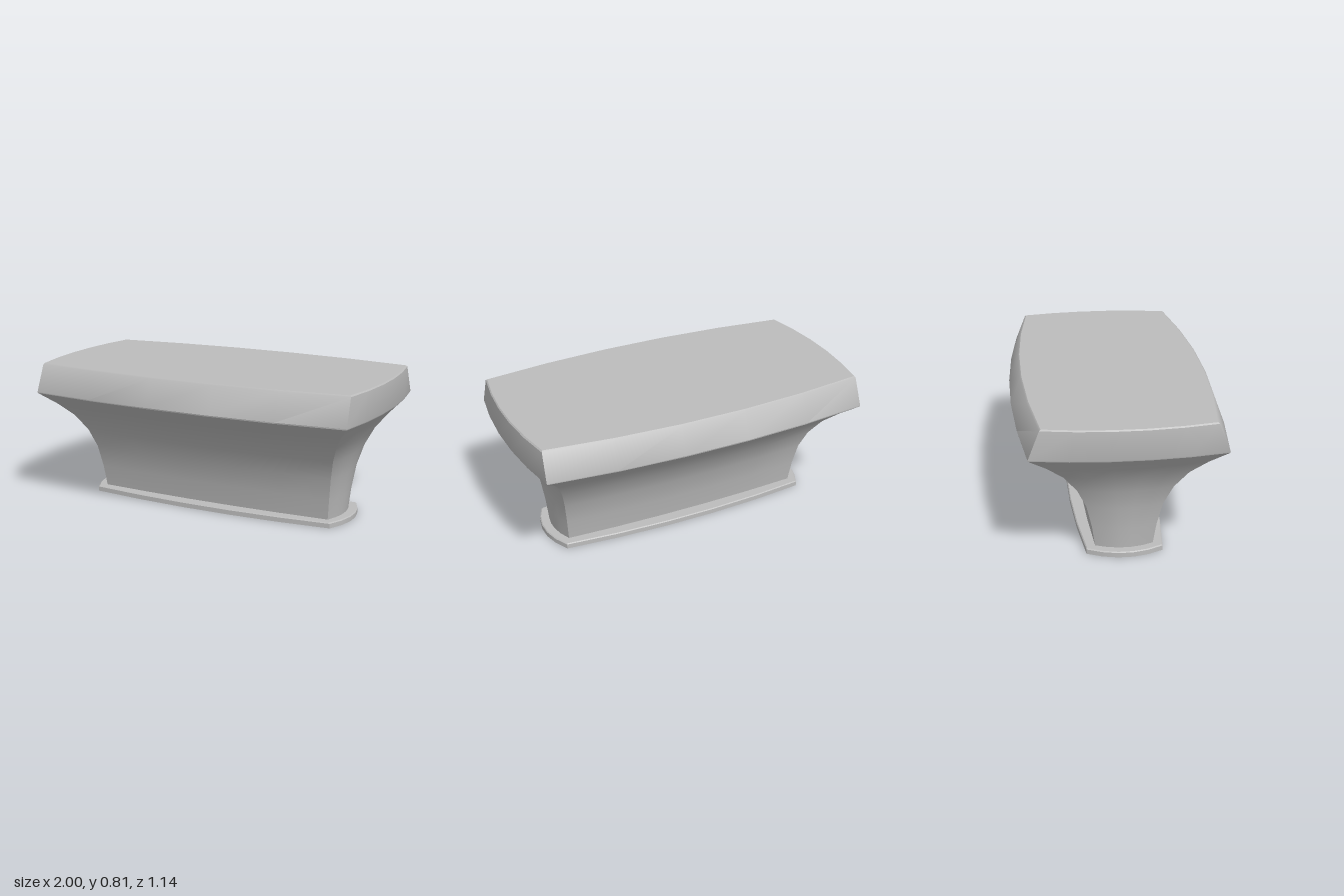
import * as THREE from 'three';
import { toCreasedNormals } from 'three/addons/utils/BufferGeometryUtils.js';

const SEG = 5; // segments along each bowed side

// Four-sided ring with bowed sides: corner at (cx, cz), side middles at mx and mz
function ring([y, cx, cz, mx, mz]) {
  const half = [];
  for (let i = 0; i < SEG; i++) {
    const t = (2 * i) / SEG - 1;
    half.push([cx * t, cz + (mz - cz) * (1 - t * t)]);
  }
  for (let i = 0; i < SEG; i++) {
    const t = (2 * i) / SEG - 1;
    half.push([cx + (mx - cx) * (1 - t * t), -cz * t]);
  }
  const points = [...half, ...half.map(([x, z]) => [-x, -z])];
  return points.map(([x, z]) => [x, y, z]);
}

// Closed solid lofted through rings from bottom to top
function loft(sections) {
  const positions = [];
  const indices = [];
  const n = SEG * 4;
  sections.forEach((s) => ring(s).forEach((p) => positions.push(...p)));
  const last = sections.length - 1;
  const bottom = positions.length / 3;
  positions.push(0, sections[0][0], 0, 0, sections[last][0], 0);
  for (let k = 0; k < n; k++) {
    const next = (k + 1) % n;
    for (let i = 0; i < last; i++) {
      const a = i * n + k, b = i * n + next;
      indices.push(a, b, b + n, a, b + n, a + n);
    }
    indices.push(bottom, next, k, bottom + 1, last * n + k, last * n + next);
  }
  const geometry = new THREE.BufferGeometry();
  geometry.setAttribute('position', new THREE.Float32BufferAttribute(positions, 3));
  geometry.setIndex(indices);
  return toCreasedNormals(geometry, 0.6);
}

export function createModel() {
  const group = new THREE.Group();
  group.name = 'handleKnob';
  const metal = new THREE.MeshStandardMaterial({ color: 0xbcbcbc });
  metal.name = 'satin grey';

  const add = (name, sections) => {
    const mesh = new THREE.Mesh(loft(sections), metal);
    mesh.name = name;
    group.add(mesh);
  };

  // Thin mounting plate
  add('basePlate', [
    [0, 0.75, 0.205, 0.81, 0.25],
    [0.026, 0.75, 0.205, 0.81, 0.25],
    [0.031, 0.745, 0.2, 0.805, 0.245],
  ]);

  // Flared neck
  add('neck', [
    [0.025, 0.718, 0.155, 0.757, 0.178],
    [0.15, 0.731, 0.173, 0.768, 0.2],
    [0.28, 0.75, 0.203, 0.787, 0.235],
    [0.39, 0.779, 0.253, 0.817, 0.292],
    [0.49, 0.824, 0.325, 0.865, 0.37],
    [0.57, 0.88, 0.412, 0.927, 0.468],
    [0.645, 0.947, 0.507, 0.997, 0.572],
  ]);

  // Tapered grip with softened edges
  add('grip', [
    [0.645, 0.947, 0.507, 0.997, 0.572],
    [0.652, 0.949, 0.508, 1.0, 0.574],
    [0.804, 0.944, 0.448, 0.991, 0.519],
    [0.811, 0.938, 0.44, 0.985, 0.511],
  ]);

  return group;
}
